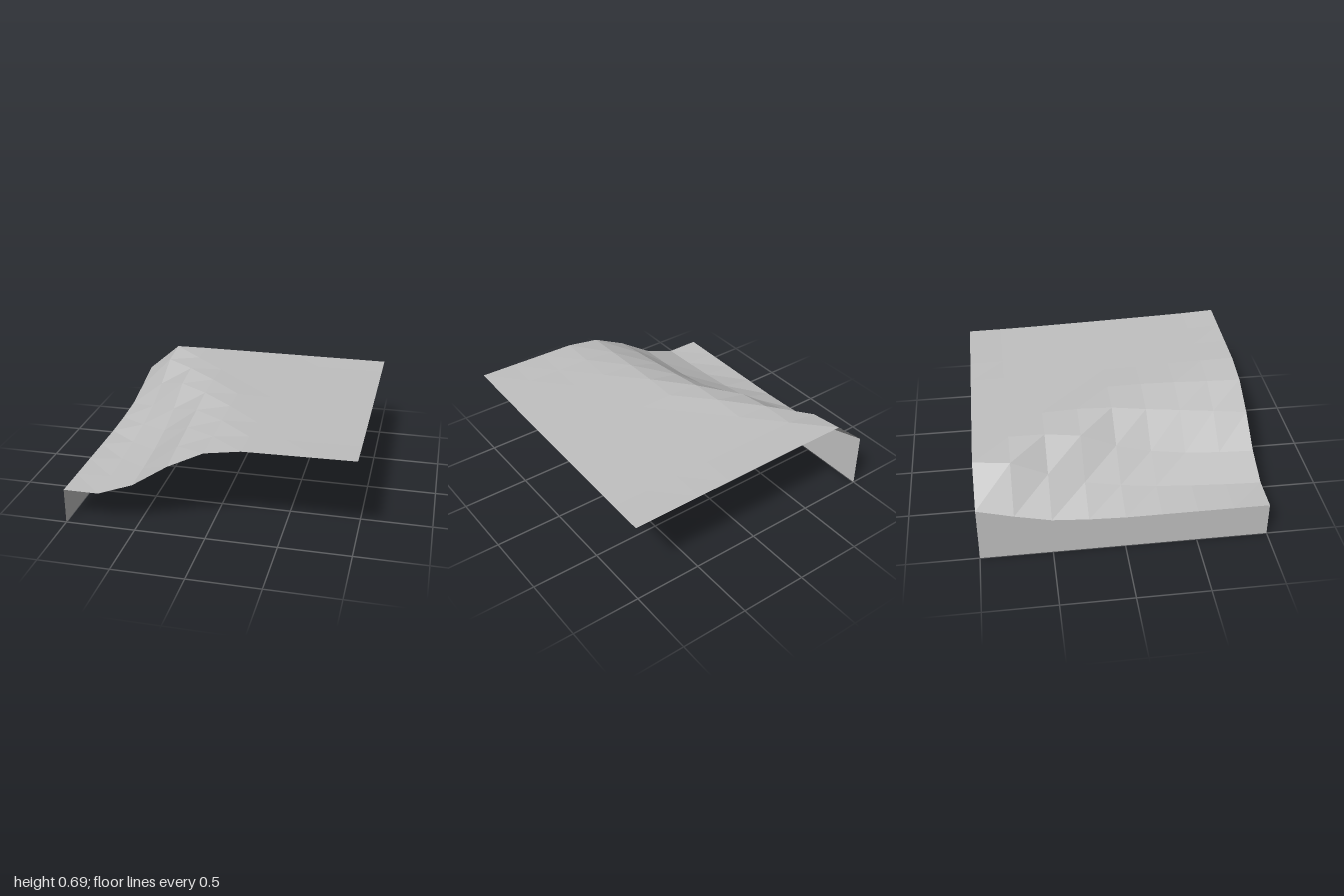
import * as THREE from 'three';

const N = 8, STEP = 0.25;

// One row per z step from back to front: heights at x = -1 ... 0.25, then at x = 1
const ROWS = [
  [0.415, 0.63, 0.633, 0.633, 0.633, 0.633, 0.633],
  [0.345, 0.60, 0.637, 0.637, 0.637, 0.637, 0.636],
  [0.285, 0.48, 0.635, 0.645, 0.643, 0.643, 0.641],
  [0.265, 0.385, 0.60, 0.655, 0.65, 0.649, 0.648],
  [0.255, 0.335, 0.49, 0.645, 0.66, 0.656, 0.655],
  [0.255, 0.30, 0.42, 0.61, 0.665, 0.664, 0.663],
  [0.255, 0.28, 0.38, 0.58, 0.66, 0.67, 0.671],
  [0.255, 0.265, 0.36, 0.55, 0.65, 0.676, 0.68],
  [0.255, 0.255, 0.35, 0.517, 0.642, 0.682, 0.694],
];

// The plateau runs evenly from x = 0.25 to x = 1
function height(i, j) {
  const r = ROWS[j];
  return i <= 5 ? r[i] : THREE.MathUtils.lerp(r[5], r[6], (i - 5) / 3);
}

// Grid surface; every cell is split from its first corner to its opposite one
function gridGeometry(columns, rows, point) {
  const positions = [], index = [];
  for (let j = 0; j <= rows; j++)
    for (let i = 0; i <= columns; i++) positions.push(...point(i, j));
  const w = columns + 1;
  for (let j = 0; j < rows; j++)
    for (let i = 0; i < columns; i++) {
      const a = j * w + i, b = a + w, c = b + 1, d = a + 1;
      index.push(a, b, c, a, c, d);
    }
  const g = new THREE.BufferGeometry();
  g.setAttribute('position', new THREE.Float32BufferAttribute(positions, 3));
  g.setIndex(index);
  const flat = g.toNonIndexed();
  flat.computeVertexNormals();
  return flat;
}

export function createModel() {
  const group = new THREE.Group();
  group.name = 'terrainTile';
  const stone = new THREE.MeshStandardMaterial({ color: 0xc0c0c0, side: THREE.DoubleSide, flatShading: true });
  stone.name = 'lightGrey';

  // Sloping ground: low on one side, rising to a plateau
  const ground = new THREE.Mesh(
    gridGeometry(N, N, (i, j) => [-1 + i * STEP, height(i, j), -1 + j * STEP]), stone);
  ground.name = 'ground';

  // Upright wall below the low edge
  const wall = new THREE.Mesh(
    gridGeometry(N, 1, (i, j) => [-1, j ? 0 : height(0, i), -1 + i * STEP]), stone);
  wall.name = 'edgeWall';

  group.add(ground, wall);
  return group;
}
